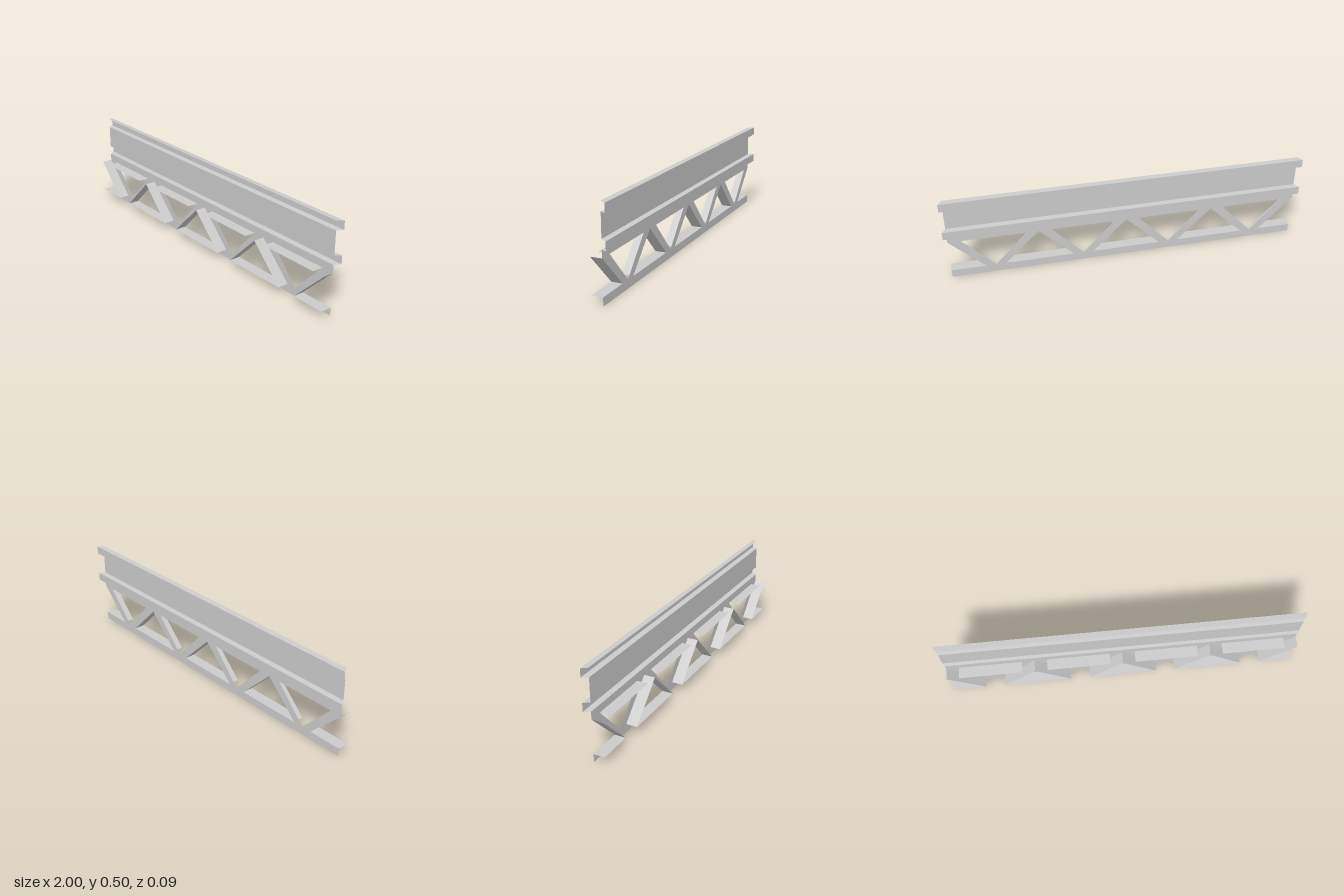
import * as THREE from 'three';

const material = new THREE.MeshStandardMaterial({ color: 0xcccccc, side: THREE.DoubleSide, flatShading: true });

// Depths of the sheet, the ribs behind it and the flanges in front of it
const Z_SHEET = -0.015, Z_BACK = -0.047, Z_FRONT = 0.047;
const HALF = 0.98;            // half length of the sheet
const LOW = 0.045, HIGH = 0.233; // bottom and top of the openings
const BAY = 0.49, UP = 0.19, DOWN = 0.175;

// Flat four-cornered sheet
function quad(a, b, c, d) {
  const g = new THREE.BufferGeometry();
  g.setAttribute('position', new THREE.Float32BufferAttribute([a, b, c, a, c, d].flat(), 3));
  g.computeVertexNormals();
  return g;
}

function add(group, name, geometry) {
  const mesh = new THREE.Mesh(geometry, material);
  mesh.name = name;
  group.add(mesh);
}

// Flange standing forward from the sheet along one edge
function flange(group, name, x0, y0, x1, y1) {
  add(group, name, quad([x0, y0, Z_SHEET], [x0, y0, Z_FRONT], [x1, y1, Z_FRONT], [x1, y1, Z_SHEET]));
}

// Pressed rib: a channel open to the front, slightly longer at its back
function rib(name, y0, y1) {
  const group = new THREE.Group();
  group.name = name;
  const draft = 0.002;
  const corners = [[y0, Z_SHEET, HALF], [y0 + draft, Z_BACK, 1], [y1 - draft, Z_BACK, 1], [y1, Z_SHEET, HALF]];
  ['ribBottom', 'ribBack', 'ribTop'].forEach((part, i) => {
    const [ya, za, xa] = corners[i], [yb, zb, xb] = corners[i + 1];
    add(group, part, quad([xa, ya, za], [-xa, ya, za], [-xb, yb, zb], [xb, yb, zb]));
  });
  return group;
}

function points(list) {
  return list.map(([x, y]) => new THREE.Vector2(x, y));
}

export function createModel() {
  const model = new THREE.Group();
  model.name = 'trussBeam';

  // Truss sheet: chords and diagonals cut from one plate
  const shape = new THREE.Shape(points([
    [-HALF, 0], [HALF, 0], [HALF, LOW], [HALF - UP, LOW], [HALF, HIGH], [HALF, 0.275],
    [-HALF, 0.275], [-HALF, HIGH], [-HALF + UP, LOW], [-HALF, LOW],
  ]));
  for (let i = -1; i <= 1; i++) {
    const c = i * BAY;
    shape.holes.push(new THREE.Path(points([[c - UP, LOW], [c, HIGH], [c + UP, LOW]])));
  }
  for (let i = 0; i < 4; i++) {
    const c = (i - 1.5) * BAY;
    shape.holes.push(new THREE.Path(points([[c - DOWN, HIGH], [c + DOWN, HIGH], [c, LOW + 0.001]])));
  }
  add(model, 'trussSheet', new THREE.ShapeGeometry(shape).translate(0, 0, Z_SHEET));

  // Flanges around the openings
  const flanges = new THREE.Group();
  flanges.name = 'flanges';
  model.add(flanges);
  for (let i = -2; i <= 2; i++) {
    const c = i * BAY;
    const left = Math.max(c - UP, -HALF), right = Math.min(c + UP, HALF);
    flange(flanges, 'bottomFlange', left, LOW, right, LOW);
    if (i > -2) flange(flanges, 'diagonalFlange', c - UP, LOW, c, HIGH);
    if (i < 2) flange(flanges, 'diagonalFlange', c, HIGH, c + UP, LOW);
  }
  for (let i = 0; i < 4; i++) {
    const c = (i - 1.5) * BAY;
    flange(flanges, 'topFlange', c - DOWN, HIGH, c + DOWN, HIGH);
  }

  // Upper web between two ribs
  add(model, 'webPanel', quad([-HALF, 0.325, Z_SHEET], [HALF, 0.325, Z_SHEET], [HALF, 0.453, Z_SHEET], [-HALF, 0.453, Z_SHEET]));
  model.add(rib('lowerRib', 0.275, 0.325), rib('upperRib', 0.453, 0.503));
  return model;
}
